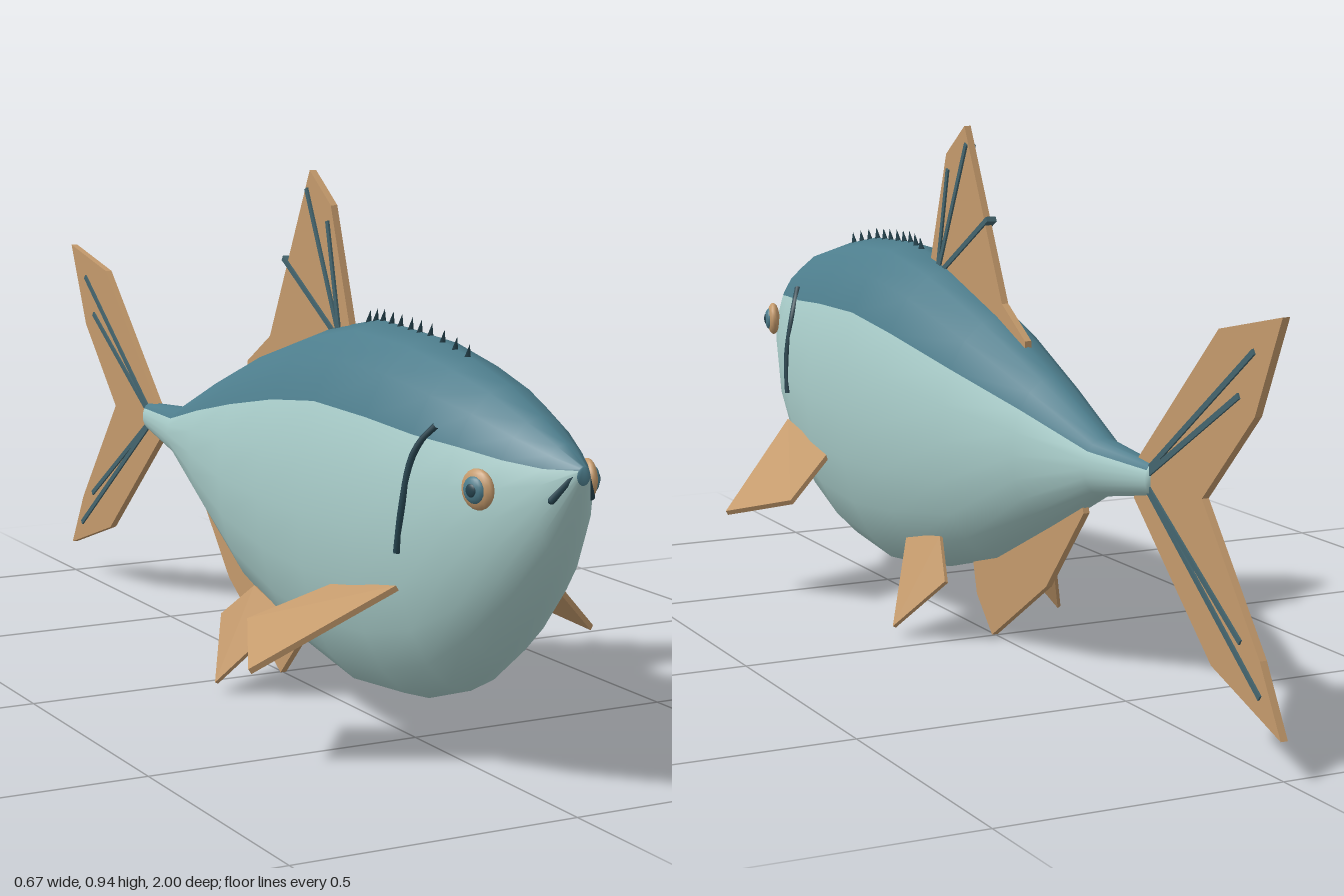
import * as THREE from 'three';
import { ConvexGeometry } from 'three/addons/geometries/ConvexGeometry.js';

const V = (x, y, z) => new THREE.Vector3(x, y, z);

// Body stations from nose to tail: z, top y, bottom y, half width
const STATIONS = [
  [1.0, 0.55, 0.52, 0.012],
  [0.95, 0.578, 0.4, 0.05],
  [0.88, 0.61, 0.3, 0.087],
  [0.786, 0.647, 0.203, 0.12],
  [0.68, 0.673, 0.125, 0.142],
  [0.545, 0.697, 0.08, 0.156],
  [0.37, 0.705, 0.064, 0.16],
  [0.2, 0.672, 0.09, 0.152],
  [-0.016, 0.606, 0.15, 0.124],
  [-0.23, 0.524, 0.25, 0.082],
  [-0.42, 0.444, 0.342, 0.042],
  [-0.59, 0.43, 0.374, 0.018],
];
const SIDES = 20;
const BACK_SIDES = 3; // segments of back colour on each side of the ridge

function section(z) {
  let i = 0;
  while (i < STATIONS.length - 2 && STATIONS[i + 1][0] > z) i++;
  const a = STATIONS[i], b = STATIONS[i + 1];
  const t = (a[0] - z) / (a[0] - b[0]);
  const [top, bottom, w] = [1, 2, 3].map((k) => THREE.MathUtils.lerp(a[k], b[k], t));
  return { top, cy: (top + bottom) / 2, h: (top - bottom) / 2, w };
}

// Half width of the body at a given height and station
function surfaceX(y, z) {
  const s = section(z);
  return s.w * Math.sqrt(Math.max(0, 1 - ((y - s.cy) / s.h) ** 2));
}

function bodyGeometry() {
  const pos = [], back = [], belly = [];
  for (const [z] of STATIONS) {
    const s = section(z);
    for (let j = 0; j < SIDES; j++) {
      const a = (j / SIDES) * Math.PI * 2;
      pos.push(s.w * Math.sin(a), s.cy + s.h * Math.cos(a), z);
    }
  }
  const last = STATIONS.length - 1;
  for (let j = 0; j < SIDES; j++) {
    const k = (j + 1) % SIDES;
    const list = j < BACK_SIDES || j >= SIDES - BACK_SIDES ? back : belly;
    for (let i = 0; i < last; i++) {
      const a = i * SIDES + j, b = i * SIDES + k;
      list.push(a, b, a + SIDES, b, b + SIDES, a + SIDES);
    }
  }
  // Nose and tail end caps
  for (let j = 1; j < SIDES - 1; j++) {
    back.push(0, j + 1, j);
    belly.push(last * SIDES, last * SIDES + j, last * SIDES + j + 1);
  }
  const g = new THREE.BufferGeometry();
  g.setAttribute('position', new THREE.Float32BufferAttribute(pos, 3));
  g.setIndex([...back, ...belly]);
  g.addGroup(0, back.length, 0);
  g.addGroup(back.length, belly.length, 1);
  g.computeVertexNormals();
  return g;
}

// Upright fin on the centre plane from a (z, y) outline
function uprightFin(outline, thickness) {
  const shape = new THREE.Shape(outline.map(([z, y]) => new THREE.Vector2(z, y)));
  const g = new THREE.ExtrudeGeometry(shape, { depth: thickness, bevelEnabled: false });
  return g.translate(0, 0, -thickness / 2).rotateY(-Math.PI / 2);
}

// Thin plate through four corners
function plate(corners, thickness) {
  const n = V(0, 0, 0).crossVectors(
    corners[2].clone().sub(corners[0]),
    corners[3].clone().sub(corners[1])
  ).setLength(thickness / 2);
  return new ConvexGeometry(corners.flatMap((c) => [c.clone().add(n), c.clone().sub(n)]));
}

export function createModel() {
  const model = new THREE.Group();
  model.name = 'fish';
  const material = (name, color) => {
    const m = new THREE.MeshStandardMaterial({ color });
    m.name = name;
    return m;
  };
  const backBlue = material('backBlue', 0x4d7d8c);
  const bellyAqua = material('bellyAqua', 0xa8ccc9);
  const finTan = material('finTan', 0xc49a6c);
  const darkTeal = material('darkTeal', 0x25434e);
  const rayTeal = material('rayTeal', 0x44656e);

  const add = (name, geometry, mat, parent = model) => {
    const m = new THREE.Mesh(geometry, mat);
    m.name = name;
    parent.add(m);
    return m;
  };

  add('body', bodyGeometry(), [backBlue, bellyAqua]);

  // Centre fins
  add('dorsalFin', uprightFin([
    [0.278, 0.66], [0.2, 0.888], [0.12, 0.945], [-0.037, 0.63], [-0.13, 0.573], [-0.13, 0.53], [0.2, 0.62],
  ], 0.013), finTan);
  add('tailFin', uprightFin([
    [-0.535, 0.42], [-0.8, 0.68], [-0.985, 0.72], [-0.91, 0.556], [-0.755, 0.4],
    [-0.936, 0.176], [-1, 0.064], [-0.79, 0.134], [-0.535, 0.36],
  ], 0.013), finTan);
  add('analFin', uprightFin([
    [0.09, 0.14], [0.07, 0.065], [0.005, 0], [-0.214, 0.139], [-0.355, 0.3], [-0.34, 0.34], [-0.1, 0.22],
  ], 0.012), finTan);

  // Fin rays: slim bars showing on both faces, as z, y to z, y
  const rays = [
    [0.235, 0.67, 0.19, 0.86], [0.23, 0.67, 0.11, 0.912], [0.225, 0.66, 0.02, 0.78],
    [-0.58, 0.415, -0.907, 0.658], [-0.58, 0.408, -0.865, 0.583],
    [-0.58, 0.39, -0.88, 0.193], [-0.58, 0.385, -0.94, 0.118],
  ];
  for (const [z1, y1, z2, y2] of rays) {
    const ray = add('finRay', new THREE.BoxGeometry(0.02, 0.01, Math.hypot(z2 - z1, y2 - y1)), rayTeal);
    ray.position.set(0, (y1 + y2) / 2, (z1 + z2) / 2);
    ray.rotation.x = -Math.atan2(y2 - y1, z2 - z1);
  }

  // Paired parts
  for (const s of [1, -1]) {
    const side = s > 0 ? 'left' : 'right';

    add(side + 'PectoralFin', plate([
      V(s * 0.14, 0.312, 0.68), V(s * 0.14, 0.275, 0.47), V(s * 0.257, 0.207, 0.378), V(s * 0.333, 0.163, 0.535),
    ], 0.01), finTan);
    add(side + 'PelvicFin', plate([
      V(s * 0.09, 0.158, 0.2), V(s * 0.085, 0.185, 0.06), V(s * 0.113, 0.118, -0.022), V(s * 0.174, 0.017, 0.078),
    ], 0.007), finTan);

    // Eye: flattened ball with a coloured iris and dark pupil
    const eye = new THREE.Group();
    eye.name = side + 'Eye';
    eye.position.set(s * 0.101, 0.5, 0.86);
    eye.rotation.y = s * 1.3;
    model.add(eye);
    const ball = (name, r, depth, z, mat) => {
      const m = add(name, new THREE.SphereGeometry(r, 16, 10), mat, eye);
      m.scale.z = depth / r;
      m.position.z = z;
    };
    ball('eyeball', 0.033, 0.013, 0, finTan);
    ball('iris', 0.022, 0.01, 0.008, backBlue);
    ball('pupil', 0.011, 0.004, 0.0155, darkTeal);

    // Gill slit hugging the flank
    const gill = [[0.58, 0.727], [0.555, 0.707], [0.524, 0.695], [0.444, 0.69], [0.37, 0.68]]
      .map(([y, z]) => V(s * (surfaceX(y, z) + 0.001), y, z));
    add(side + 'Gill', new THREE.TubeGeometry(new THREE.CatmullRomCurve3(gill), 14, 0.006, 6), darkTeal);

    // Mouth line
    const mouth = add(side + 'Mouth', new THREE.CapsuleGeometry(0.006, 0.05, 4, 8), darkTeal);
    const from = V(s * 0.012, 0.533, 0.99), to = V(s * 0.036, 0.495, 0.968);
    mouth.position.copy(from).add(to).multiplyScalar(0.5);
    mouth.quaternion.setFromUnitVectors(V(0, 1, 0), from.sub(to).normalize());
  }

  // Small spines along the ridge
  for (const z of [0.66, 0.62, 0.58, 0.54, 0.505, 0.475, 0.44, 0.41, 0.38, 0.355, 0.33]) {
    const spine = add('backSpine', new THREE.ConeGeometry(0.008, 0.03, 4), darkTeal);
    spine.position.set(0, section(z).top + 0.006, z);
    spine.rotation.x = 0.3;
  }

  return model;
}
